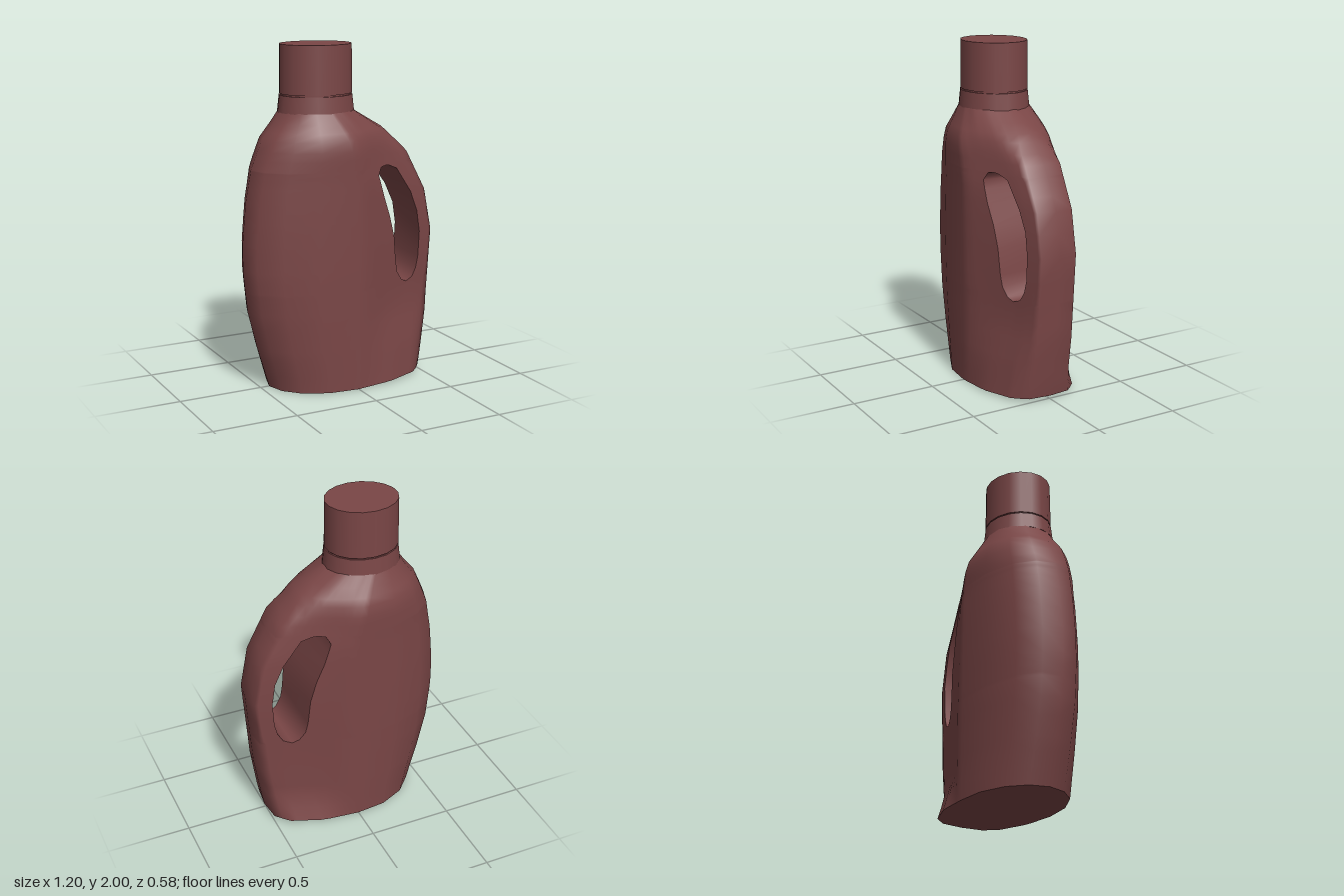
import * as THREE from 'three';
import { mergeGeometries, mergeVertices } from 'three/addons/utils/BufferGeometryUtils.js';

const plastic = new THREE.MeshStandardMaterial({ color: 0x7a4646 });
plastic.name = 'brown plastic';

// Piecewise linear lookup in a list of [key, value] pairs
function lerpTable(table, k) {
  if (k <= table[0][0]) return table[0][1];
  for (let i = 1; i < table.length; i++) {
    const [k0, v0] = table[i - 1], [k1, v1] = table[i];
    if (k <= k1) return v0 + (v1 - v0) * (k - k0) / (k1 - k0);
  }
  return table[table.length - 1][1];
}

// Silhouette, by height
const LEFT_EDGE = [[0, -0.445], [0.25, -0.52], [0.47, -0.575], [0.7, -0.6], [0.87, -0.6], [1.1, -0.58],
  [1.31, -0.54], [1.47, -0.47], [1.6, -0.365], [1.62, -0.355]];
const RIGHT_EDGE = [[0, 0.508], [0.37, 0.565], [0.87, 0.6], [1.12, 0.55], [1.36, 0.42], [1.51, 0.27], [1.62, 0.09]];
// Grip hole edges; above and below the hole both follow one dividing line
const HOLE_INNER = [[0, 0.3], [0.58, 0.38], [0.6, 0.34], [0.65, 0.305], [0.72, 0.29], [0.87, 0.275], [1, 0.24],
  [1.12, 0.195], [1.25, 0.155], [1.295, 0.18], [1.3, 0.22], [1.36, 0.2], [1.5, 0.09], [1.62, -0.03]];
const HOLE_OUTER = [[0, 0.3], [0.58, 0.38], [0.6, 0.43], [0.65, 0.46], [0.72, 0.477], [0.87, 0.485], [1, 0.465],
  [1.12, 0.415], [1.27, 0.31], [1.295, 0.25], [1.3, 0.22], [1.36, 0.2], [1.5, 0.09], [1.62, -0.03]];
const CENTRE = [[1.2, 0], [1.45, -0.05], [1.62, -0.13]];
const DEPTH = [[1.45, 0.29], [1.62, 0.2]];

// Relative depth from the centre (0) to the edge (1)
const ROUND = [[0, 1], [0.4, 0.94], [0.73, 0.71], [0.93, 0.38], [1, 0]];
const BASE = [[0, 1], [0.44, 0.95], [0.83, 0.72], [0.97, 0.45], [1, 0]];
const GRIP = [[0, 1], [0.1, 0.98], [0.45, 0.73], [0.65, 0.6], [0.8, 0.51], [0.97, 0.39], [1, 0]];
// How far the grip recess is formed at each height, front and back
const RECESS_FRONT = [[0, 0], [0.2, 0.35], [0.45, 1], [1.38, 1], [1.62, 0]];
const RECESS_BACK = [[0, 0], [0.18, 0.85], [0.4, 1], [1.38, 1], [1.62, 0]];

const ROWS = [0, 0.09, 0.18, 0.25, 0.37, 0.47, 0.58, 0.6, 0.65, 0.72, 0.87, 1, 1.12, 1.2, 1.25, 1.27,
  1.295, 1.3, 1.36, 1.41, 1.47, 1.51, 1.56, 1.62];

// Point on the front (side 1) or back (side -1) of the bottle
function surfacePoint(x, y, side) {
  const xc = lerpTable(CENTRE, y);
  let profile;
  if (x < xc) {
    profile = lerpTable(ROUND, (x - xc) / (lerpTable(LEFT_EDGE, y) - xc));
  } else {
    const t = (x - xc) / (lerpTable(RIGHT_EDGE, y) - xc);
    const m = lerpTable(side > 0 ? RECESS_FRONT : RECESS_BACK, y);
    const plain = lerpTable(y < 0.8 ? BASE : ROUND, t);
    profile = plain + (lerpTable(GRIP, t) - plain) * m;
  }
  const lift = y === 0 ? 0.02 * THREE.MathUtils.clamp(x / 0.5, 0, 1) : 0;
  return [x, y + lift, side * profile * lerpTable(DEPTH, y)];
}

// Column positions from the left edge to the hole
function innerColumns(y) {
  const xl = lerpTable(LEFT_EDGE, y), xc = lerpTable(CENTRE, y), end = lerpTable(HOLE_INNER, y);
  const xs = [1, 0.93, 0.73, 0.4].map(t => xc + (xl - xc) * t);
  for (let i = 0; i <= 5; i++) xs.push(xc + (end - xc) * i / 5);
  return xs;
}

// Column positions from the hole to the right edge
function outerColumns(y) {
  const xr = lerpTable(RIGHT_EDGE, y), xc = lerpTable(CENTRE, y), start = lerpTable(HOLE_OUTER, y);
  const shoulder = xc + (xr - xc) * 0.97;
  const xs = [];
  for (let i = 0; i <= 5; i++) xs.push(start + (shoulder - start) * i / 5);
  xs.push(xr);
  return xs;
}

// Surface through rows of points; faces along (column direction x row direction)
function grid(rows, flip = false) {
  const n = rows[0].length, index = [];
  for (let r = 0; r < rows.length - 1; r++) {
    for (let c = 0; c < n - 1; c++) {
      const a = r * n + c, b = a + 1, d = a + n, e = d + 1;
      if (flip) index.push(a, e, b, a, d, e);
      else index.push(a, b, e, a, e, d);
    }
  }
  const g = new THREE.BufferGeometry();
  g.setAttribute('position', new THREE.Float32BufferAttribute(rows.flat(2), 3));
  g.setIndex(index);
  return g;
}

function smoothMesh(name, parts) {
  const g = mergeVertices(mergeGeometries(parts));
  g.computeVertexNormals();
  const mesh = new THREE.Mesh(g, plastic);
  mesh.name = name;
  return mesh;
}

export function createModel() {
  const model = new THREE.Group();
  model.name = 'bottle';

  // Body shell with the grip loop
  const panels = [];
  for (const side of [1, -1]) {
    for (const columns of [innerColumns, outerColumns]) {
      panels.push(grid(ROWS.map(y => columns(y).map(x => surfacePoint(x, y, side))), side < 0));
    }
  }
  model.add(smoothMesh('body', panels));

  // Walls of the grip hole
  const holeRows = ROWS.filter(y => y >= 0.58 && y <= 1.3);
  const wall = (table, flip) => grid(holeRows.map(y => {
    const x = lerpTable(table, y);
    return [surfacePoint(x, y, 1), surfacePoint(x, y, -1)];
  }), flip);
  model.add(smoothMesh('gripHole', [wall(HOLE_INNER, false), wall(HOLE_OUTER, true)]));

  // Underside
  const baseColumns = [...innerColumns(0), ...outerColumns(0).slice(1)];
  model.add(smoothMesh('base', [grid([-1, 1].map(side => baseColumns.map(x => surfacePoint(x, 0, side))))]));

  // Neck and cap, slightly oval
  const ring = (name, rTop, rBottom, y0, y1) => {
    const mesh = new THREE.Mesh(new THREE.CylinderGeometry(rTop, rBottom, y1 - y0, 18), plastic);
    mesh.name = name;
    mesh.position.set(-0.133, (y0 + y1) / 2, 0);
    mesh.scale.z = 0.89;
    model.add(mesh);
  };
  ring('neckCollar', 0.216, 0.227, 1.615, 1.712);
  ring('neckGap', 0.207, 0.207, 1.7, 1.73);
  ring('cap', 0.212, 0.215, 1.72, 2);

  return model;
}
